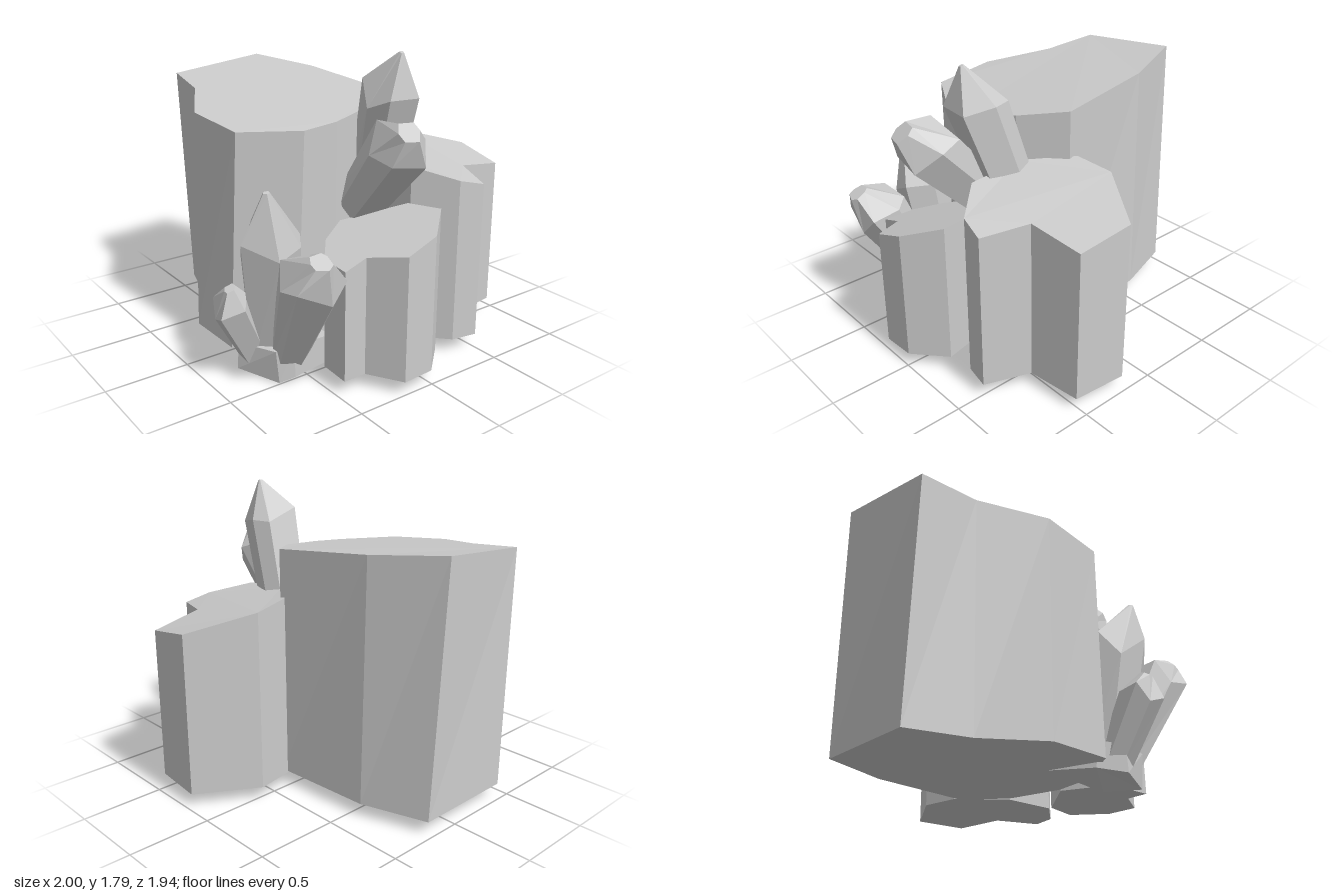
import * as THREE from 'three';

const material = new THREE.MeshStandardMaterial({ color: 0xcccccc, flatShading: true });

// Closed faceted solid through rings of equal count, counter-clockwise about the growth direction.
function loft(name, rings, outline) {
  const pos = [];
  const tri = (a, b, c) => pos.push(...a.toArray(), ...b.toArray(), ...c.toArray());
  const n = outline.length;
  for (let k = 0; k < rings.length - 1; k++) {
    const lo = rings[k], hi = rings[k + 1];
    for (let i = 0; i < n; i++) {
      const j = (i + 1) % n;
      tri(lo[i], lo[j], hi[j]);
      tri(lo[i], hi[j], hi[i]);
    }
  }
  const first = rings[0], last = rings[rings.length - 1];
  for (const [a, b, c] of THREE.ShapeUtils.triangulateShape(outline, [])) {
    tri(last[a], last[b], last[c]);
    tri(first[a], first[c], first[b]);
  }
  const geometry = new THREE.BufferGeometry();
  geometry.setAttribute('position', new THREE.Float32BufferAttribute(pos, 3));
  geometry.computeVertexNormals();
  const mesh = new THREE.Mesh(geometry, material);
  mesh.name = name;
  return mesh;
}

// Upright column: corners are [x, z, topY, bottomX, bottomZ, bottomY], the last three optional.
function column(name, corners) {
  const pts = corners.slice().reverse();
  const outline = pts.map(([x, z]) => new THREE.Vector2(x, -z));
  const bottom = pts.map(([x, z, , bx = x, bz = z, by = 0.08]) => new THREE.Vector3(bx, by, bz));
  const top = pts.map(([x, z, y]) => new THREE.Vector3(x, y, z));
  return loft(name, [bottom, top], outline);
}

// Leaning crystal: a widening shaft, an uneven shoulder and a faceted tip.
function crystal(name, { base, shoulder, tip, radius, sides = 6, turn = 0, blunt = 0.15, foot = 0.75, uneven = 0.3 }) {
  const [b, s, t] = [base, shoulder, tip].map((p) => new THREE.Vector3(...p));
  const axis = s.clone().sub(b).normalize();
  const u = new THREE.Vector3(1, 0, 0).addScaledVector(axis, -axis.x).normalize();
  const v = axis.clone().cross(u);
  const outline = [];
  for (let i = 0; i < sides; i++) {
    const a = turn + ((i + 0.18 * Math.sin(i * 2.3)) / sides) * Math.PI * 2;
    const r = 1 + 0.07 * Math.sin(i * 4.1 + turn);
    outline.push(new THREE.Vector2(Math.cos(a) * r, Math.sin(a) * r));
  }
  const ring = (c, r, lift) => outline.map((p, i) => c.clone()
    .addScaledVector(u, p.x * r).addScaledVector(v, p.y * r)
    .addScaledVector(axis, lift * radius * Math.sin(i * 2.6 + turn)));
  return loft(name, [ring(b, radius * foot, 0), ring(s, radius, uneven), ring(t, radius * blunt, 0)], outline);
}

export function createModel() {
  const group = new THREE.Group();
  group.name = 'crystalCluster';

  // Large rock column
  group.add(column('largeColumn', [
    [-1, -0.14, 1.58, -0.97, -0.2], [-0.57, -0.3, 1.54, -0.57, -0.33], [0.06, -0.37, 1.48],
    [0.26, -0.14, 1.44], [0.35, 0.18, 1.4], [0.35, 0.4, 1.38, 0.32, 0.44],
    [0.16, 0.72, 1.38, 0.11, 0.76], [-0.24, 0.75, 1.42, -0.28, 0.77],
    [-0.61, 0.55, 1.48], [-0.95, 0.5, 1.52, -0.97, 0.44],
  ]));

  // Notched column at the back
  group.add(column('backColumn', [
    [0.19, -0.97, 1.07], [0.52, -0.94, 1.01], [0.56, -0.61, 1.06], [0.83, -0.51, 1.03],
    [0.8, -0.35, 1.07], [0.6, -0.16, 1.14], [0.27, -0.17, 1.18], [0.01, -0.38, 1.2], [-0.03, -0.61, 1.17],
  ]));

  // Low slanted column on the left side, its top falling toward the front
  const slant = (x, z) => [x, z, 0.88 - 0.34 * z];
  group.add(column('sideColumn', [
    slant(0.6, -0.14), slant(0.82, -0.19), slant(0.99, 0), slant(1, 0.2), slant(0.8, 0.32),
    slant(0.8, 0.46), slant(0.6, 0.45), slant(0.45, 0.33), slant(0.37, 0.17),
  ]));

  // Foot rock under the front crystals
  group.add(column('footRock', [
    [0.1, 0.38, 0.22, 0.03, 0.4, 0.08], [0.53, 0.36, 0.22, 0.53, 0.36, 0.06],
    [0.53, 0.6, 0.22, 0.53, 0.6, 0.03], [0.49, 0.7, 0.2, 0.49, 0.68, 0],
    [0.24, 0.79, 0.18, 0.24, 0.8, 0.02], [0.15, 0.7, 0.2, 0.12, 0.68, 0.05],
  ]));

  // Crystals
  group.add(
    crystal('tallFrontCrystal', {
      base: [0.31, 0.1, 0.58], shoulder: [0.39, 0.8, 0.65], tip: [0.46, 1.12, 0.72],
      radius: 0.185, sides: 7, turn: 0.4, blunt: 0.1, foot: 0.85, uneven: 0.4,
    }),
    crystal('leaningFrontCrystal', {
      base: [0.43, 0.13, 0.58], shoulder: [0.74, 0.71, 0.64], tip: [0.86, 0.85, 0.66],
      radius: 0.175, sides: 7, turn: 0.9, blunt: 0.35, foot: 0.6,
    }),
    crystal('smallFrontCrystal', {
      base: [0.26, 0.1, 0.69], shoulder: [0.31, 0.46, 0.87], tip: [0.34, 0.58, 0.89],
      radius: 0.115, turn: 0.2, blunt: 0.3, foot: 0.8,
    }),
    crystal('topCrystal', {
      base: [0.24, 0.8, -0.15], shoulder: [0.49, 1.55, -0.08], tip: [0.58, 1.79, -0.08],
      radius: 0.165, turn: 0.5, blunt: 0.08, foot: 0.85, uneven: 0.35,
    }),
    crystal('leaningUpperCrystal', {
      base: [0.34, 0.9, 0], shoulder: [0.73, 1.32, 0.05], tip: [0.86, 1.43, 0.1],
      radius: 0.18, turn: 0.3, blunt: 0.4, foot: 0.8,
    }),
  );
  return group;
}
